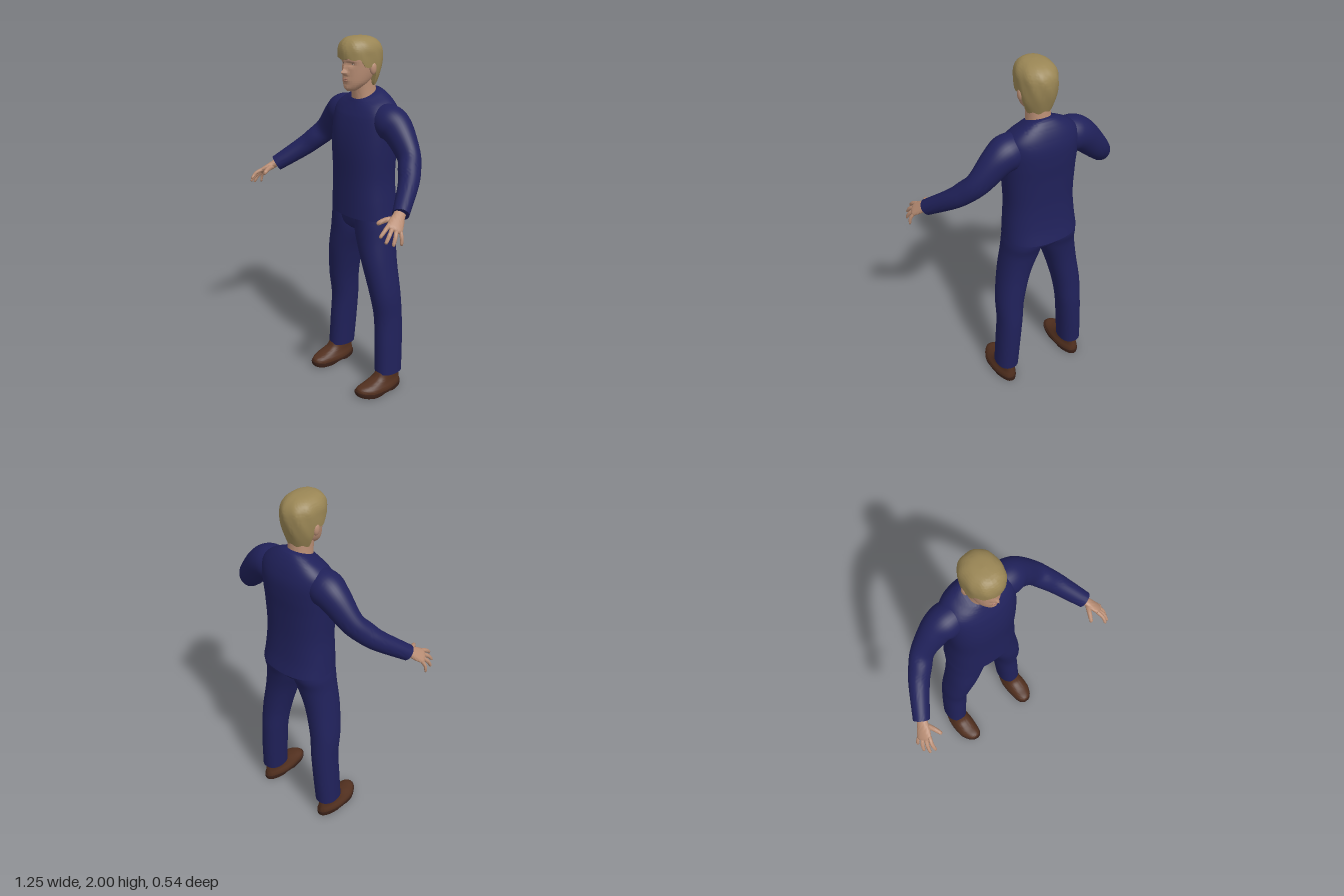
import * as THREE from 'three';
import { toCreasedNormals } from 'three/addons/utils/BufferGeometryUtils.js';

const mat = (name, color, side = THREE.FrontSide) => {
  const m = new THREE.MeshStandardMaterial({ color, side });
  m.name = name;
  return m;
};

const smooth = THREE.MathUtils.smoothstep;
const bell = (x, y, cx, cy, sx, sy) => Math.exp(-(((x - cx) / sx) ** 2) - ((y - cy) / sy) ** 2);

// Catmull-Rom interpolation through rows of numbers, t from 0 to 1
function spline(rows, t) {
  const n = rows.length - 1;
  const i = Math.min(Math.floor(t * n), n - 1), k = t * n - i;
  const [a, b, c, d] = [-1, 0, 1, 2].map((o) => rows[THREE.MathUtils.clamp(i + o, 0, n)]);
  return b.map((_, j) => b[j] + 0.5 * k * (c[j] - a[j]
    + k * (2 * a[j] - 5 * b[j] + 4 * c[j] - d[j] + k * (3 * (b[j] - c[j]) + d[j] - a[j]))));
}

// Closed skin from point(angle, t), with capped ends; s = -1 mirrors it in x
function skin(nu, nv, point, s = 1, caps = true) {
  const pos = [], idx = [];
  const tri = (a, b, c) => (s > 0 ? idx.push(a, b, c) : idx.push(a, c, b));
  for (let j = 0; j <= nv; j++) {
    for (let i = 0; i < nu; i++) {
      const [x, y, z] = point((i / nu) * Math.PI * 2, j / nv);
      pos.push(x * s, y, z);
    }
  }
  for (let j = 0; j < nv; j++) {
    for (let i = 0; i < nu; i++) {
      const k = (i + 1) % nu, a = j * nu + i, b = j * nu + k;
      tri(a, b, a + nu);
      tri(b, b + nu, a + nu);
    }
  }
  for (const j of caps ? [0, nv] : []) {
    const mid = [0, 0, 0], centre = pos.length / 3;
    for (let i = 0; i < nu; i++) for (let k = 0; k < 3; k++) mid[k] += pos[(j * nu + i) * 3 + k] / nu;
    pos.push(...mid);
    for (let i = 0; i < nu; i++) {
      const a = j * nu + i, b = j * nu + ((i + 1) % nu);
      if (j) tri(a, b, centre); else tri(b, a, centre);
    }
  }
  const geo = new THREE.BufferGeometry();
  geo.setAttribute('position', new THREE.Float32BufferAttribute(pos, 3));
  geo.setIndex(idx);
  return toCreasedNormals(geo, 1.0);
}

// Point on a level section [y, centre x, half width, front z, back z, tilt]
function level([y, cx, rx, zf, zb, tilt = 0], a, e = 0.9) {
  const pw = (v) => Math.sign(v) * Math.abs(v) ** e;
  const dz = (-pw(Math.sin(a)) * (zf - zb)) / 2;
  return [cx + rx * pw(Math.cos(a)), y - tilt * dz, (zf + zb) / 2 + dz];
}
const stack = (rows, nu, nv, s = 1, e = 0.9, warp = (p) => p) =>
  skin(nu, nv, (a, t) => warp(level(spline(rows, t), a, e)), s);

// Limb along rows [x, y, z, radius along the hint, radius across it]
function limb(rows, hint, nu, nv, s) {
  const at = (t) => new THREE.Vector3(...spline(rows, t));
  return skin(nu, nv, (a, t) => {
    const r = spline(rows, t);
    const dir = at(Math.min(t + 0.02, 1)).sub(at(Math.max(t - 0.02, 0))).normalize();
    const u = new THREE.Vector3(...hint);
    u.addScaledVector(dir, -u.dot(dir)).normalize();
    const v = dir.clone().cross(u);
    return at(t).addScaledVector(u, r[3] * Math.cos(a)).addScaledVector(v, r[4] * Math.sin(a)).toArray();
  }, s);
}

export function createModel() {
  const cloth = mat('navy cloth', 0x20215a);
  const flesh = mat('skin', 0xb88d74);
  const blond = mat('blond hair', 0x9a8655, THREE.DoubleSide);
  const leather = mat('brown leather', 0x52301f);
  const rubber = mat('dark sole', 0x3a2118);
  const lip = mat('lips', 0xa27060);
  const white = mat('eye white', 0xbfb0a4);
  const dark = mat('iris', 0x3a2c26);

  const model = new THREE.Group();
  model.name = 'standingMan';
  const add = (name, geo, material) => {
    const m = new THREE.Mesh(geo, material);
    m.name = name;
    model.add(m);
    return m;
  };
  const ball = (name, material, p, r) => {
    const m = add(name, new THREE.SphereGeometry(1, 20, 14), material);
    m.position.set(...p);
    m.scale.set(...r);
  };

  // Shirt body
  add('shirtBody', stack([
    [1.036, 0, 0.207, 0.037, -0.268, -0.04], [1.12, 0, 0.199, 0.036, -0.25, 0],
    [1.25, 0, 0.19, 0.035, -0.24, 0], [1.4, 0, 0.197, 0.038, -0.243, 0],
    [1.5, 0, 0.202, 0.03, -0.25, 0], [1.58, 0, 0.205, 0.012, -0.25, 0],
    [1.63, 0, 0.195, -0.005, -0.237, 0.08], [1.668, 0, 0.155, -0.018, -0.215, 0.22],
    [1.693, 0, 0.105, -0.027, -0.19, 0.36], [1.702, 0, 0.078, -0.032, -0.172, 0.4],
  ], 64, 54, 1, 0.85), cloth);

  // Seat of the trousers
  add('trouserSeat', stack([
    [0.935, 0, 0.02, -0.07, -0.15], [0.955, 0, 0.08, -0.02, -0.2],
    [0.99, 0, 0.165, 0.005, -0.228], [1.06, 0, 0.198, 0.015, -0.24],
  ], 48, 12), cloth);

  // Neck
  add('neck', stack([
    [1.64, 0, 0.07, -0.04, -0.17], [1.69, 0, 0.063, -0.036, -0.165],
    [1.74, 0, 0.06, -0.03, -0.16], [1.81, 0, 0.06, -0.02, -0.155],
  ], 40, 12), flesh);

  // Head, with the features pushed out of or into the face
  add('head', stack([
    [1.722, 0, 0.022, 0.008, -0.04], [1.738, 0, 0.042, 0.02, -0.07],
    [1.765, 0, 0.063, 0.024, -0.115], [1.8, 0, 0.075, 0.025, -0.15],
    [1.845, 0, 0.083, 0.024, -0.17], [1.89, 0, 0.086, 0.024, -0.178],
    [1.935, 0, 0.08, 0.018, -0.17], [1.97, 0, 0.05, -0.02, -0.12],
  ], 96, 64, 1, 0.95, ([x, y, z]) => {
    if (z < -0.06) return [x, y, z];
    const ax = Math.abs(x);
    return [x, y, z + 0.026 * bell(x, y, 0, 1.821, 0.013, 0.012)
      + 0.013 * bell(x, y, 0, 1.845, 0.01, 0.02)
      + 0.006 * bell(ax, y, 0.017, 1.816, 0.007, 0.008)
      - 0.012 * bell(ax, y, 0.034, 1.863, 0.017, 0.011)
      + 0.005 * bell(ax, y, 0.03, 1.884, 0.03, 0.009)
      + 0.007 * bell(x, y, 0, 1.784, 0.024, 0.012)
      + 0.005 * bell(x, y, 0, 1.74, 0.022, 0.012)];
  }), flesh);
  ball('upperLip', lip, [0, 1.787, 0.026], [0.021, 0.0045, 0.008]);
  ball('lowerLip', lip, [0, 1.778, 0.025], [0.018, 0.005, 0.008]);

  // Hair: a cap whose lower edge drops from the fringe to the nape
  const hairRows = [
    [1.74, 0, 0.072, 0.02, -0.155], [1.8, 0, 0.092, 0.03, -0.176], [1.85, 0, 0.099, 0.04, -0.19],
    [1.9, 0, 0.1, 0.047, -0.196], [1.94, 0, 0.097, 0.045, -0.19], [1.972, 0, 0.081, 0.03, -0.166],
    [1.993, 0, 0.05, 0, -0.125], [2, 0, 0.004, -0.055, -0.063],
  ];
  add('hair', skin(72, 36, (a, t) => {
    const f = -Math.sin(a);
    const edge = (0.3 + 1.75 * smooth(f, -0.45, -0.05) + 0.75 * smooth(f, 0.3, 0.6)
      + 0.1 * Math.sin(a * 9)) / 7;
    const r = spline(hairRows, edge + (1 - edge) * Math.max(0, (t - 0.03) / 0.97));
    const [x, y, z] = level(r, a);
    const k = (t === 0 ? 0.86 : 1) + 0.012 * Math.sin(a * 9 + y * 40) * Math.sin(Math.PI * t);
    return [x * k, y, -0.075 + (z + 0.075) * k];
  }), blond);

  for (const s of [1, -1]) {
    const side = s > 0 ? 'left' : 'right';

    // Ear and eye
    ball(side + 'Ear', flesh, [s * 0.091, 1.842, -0.085], [0.015, 0.033, 0.02]);
    ball(side + 'Eye', white, [s * 0.034, 1.863, -0.002], [0.014, 0.006, 0.009]);
    ball(side + 'Iris', dark, [s * 0.034, 1.863, 0.004], [0.005, 0.005, 0.004]);

    // Sleeve
    add(side + 'Sleeve', limb([
      [0.11, 1.585, -0.12, 0.08, 0.08], [0.19, 1.568, -0.122, 0.092, 0.095],
      [0.25, 1.535, -0.125, 0.08, 0.085], [0.345, 1.435, -0.112, 0.059, 0.068],
      [0.4, 1.375, -0.07, 0.058, 0.061], [0.45, 1.32, -0.018, 0.052, 0.056],
      [0.54, 1.222, 0.11, 0.042, 0.045],
    ], [0, 0, 1], 36, 42, s), cloth);

    // Palm, fingers and thumb
    const across = [0.59, -0.45, -0.66];
    add(side + 'Palm', limb([
      [0.525, 1.24, 0.09, 0.03, 0.023], [0.545, 1.218, 0.125, 0.031, 0.021],
      [0.562, 1.198, 0.155, 0.039, 0.019], [0.582, 1.178, 0.185, 0.041, 0.014],
      [0.588, 1.172, 0.194, 0.031, 0.008],
    ], across, 24, 16, s), flesh);
    const tips = [[0.57, 1.148, 0.268], [0.598, 1.123, 0.255], [0.616, 1.108, 0.222], [0.62, 1.1, 0.172]];
    const digit = (name, base, mid, tip, r) => add(side + name, limb([
      [...base, r, r], [...mid, r * 0.95, r * 0.9],
      [...tip.map((v, k) => v * 0.85 + mid[k] * 0.15), r * 0.75, r * 0.65], [...tip, 0.002, 0.002],
    ], across, 12, 12, s), flesh);
    tips.forEach((tip, i) => {
      const off = (i - 1.5) * 0.021;
      const base = [0.578, 1.181, 0.181].map((v, k) => v + across[k] * off);
      const mid = base.map((v, k) => (v + tip[k]) / 2 + [0.006, 0.006, 0.002][k]);
      digit('Finger' + (i + 1), base, mid, tip, i === 3 ? 0.0095 : 0.011);
    });
    digit('Thumb', [0.542, 1.208, 0.138], [0.518, 1.205, 0.185], [0.498, 1.188, 0.227], 0.014);

    // Trouser leg
    add(side + 'TrouserLeg', stack([
      [0.112, 0.218, 0.064, -0.035, -0.196], [0.28, 0.208, 0.066, -0.04, -0.205],
      [0.45, 0.196, 0.069, -0.043, -0.208], [0.6, 0.184, 0.077, -0.02, -0.2],
      [0.78, 0.148, 0.088, 0.005, -0.197], [0.92, 0.111, 0.104, 0.01, -0.212],
      [1, 0.1, 0.107, 0.012, -0.235], [1.06, 0.098, 0.098, 0.012, -0.235],
    ], 40, 44, s), cloth);

    // Shoe: toe lifts and turns inward, heel narrows, arch rises
    const shape = ([x, y, z]) => {
      const toe = Math.max(0, (z - 0.03) / 0.08), arch = bell(z, 0, -0.06, 0, 0.035, 1);
      const w = 1 - 0.18 * smooth(-z, 0.05, 0.19);
      return [0.22 + (x - 0.22) * w - 0.012 * toe, y + 0.014 * toe * toe + (y < 0.01 ? 0.014 * arch : 0), z];
    };
    add(side + 'Shoe', stack([
      [0.02, 0.22, 0.063, 0.105, -0.19], [0.042, 0.22, 0.063, 0.1, -0.19],
      [0.06, 0.22, 0.056, 0.075, -0.188], [0.076, 0.22, 0.051, 0.03, -0.186],
      [0.095, 0.22, 0.049, -0.015, -0.184], [0.13, 0.22, 0.047, -0.04, -0.18],
    ], 40, 20, s, 0.85, shape), leather);
    add(side + 'Sole', stack([
      [0, 0.22, 0.064, 0.106, -0.194], [0.014, 0.22, 0.067, 0.112, -0.197],
      [0.026, 0.22, 0.067, 0.112, -0.197],
    ], 40, 4, s, 0.85, shape), rubber);
  }
  return model;
}
